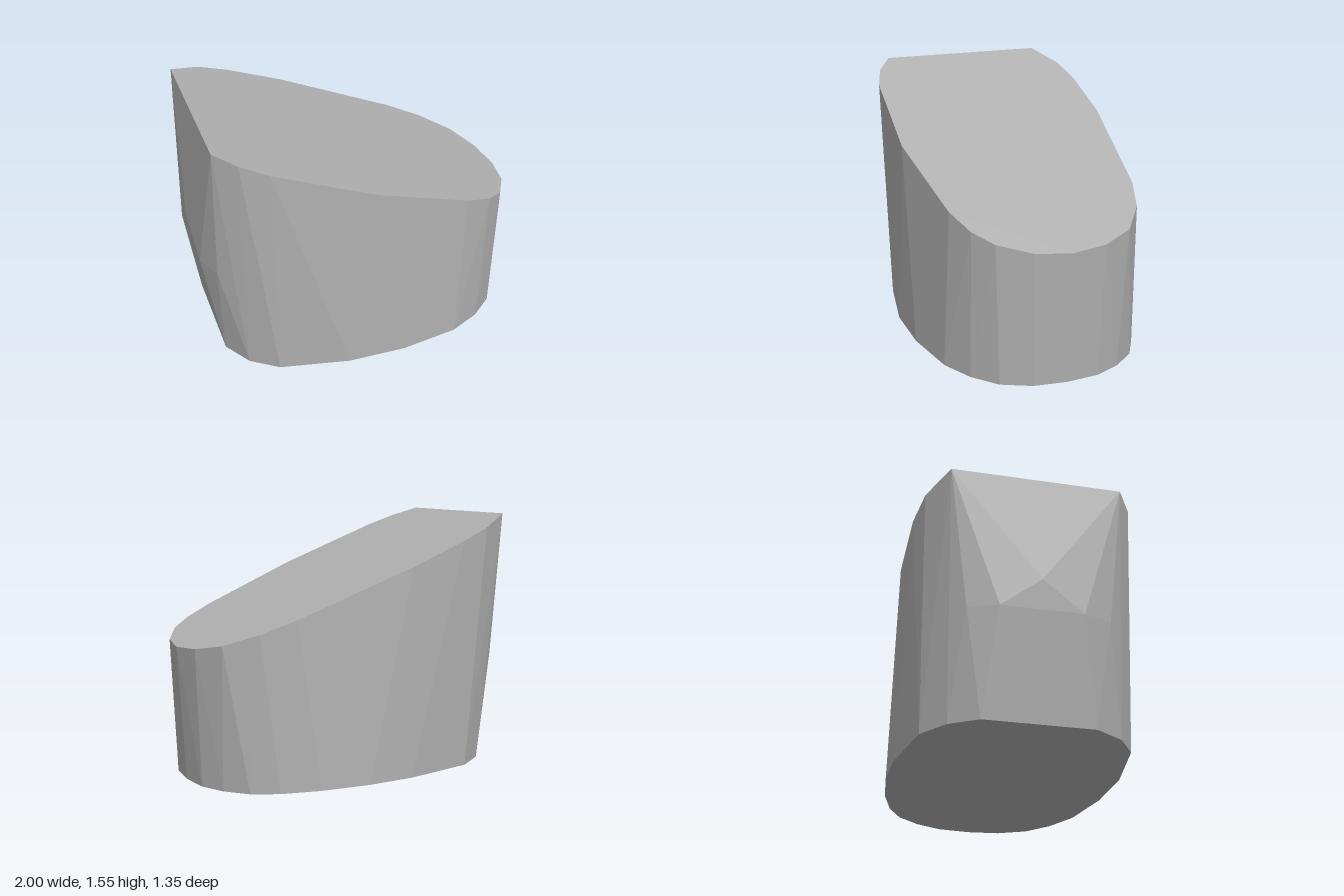
import * as THREE from 'three';
import { ConvexGeometry } from 'three/addons/geometries/ConvexGeometry.js';

// Outlines as [x, z] pairs; each rim lies in its own tilted plane
const TOP_RIM = [
  [-0.925, -0.51], [-0.735, -0.625], [-0.55, -0.665], [-0.2, -0.677], [0.5, -0.595],
  [0.7, -0.53], [0.875, -0.4], [0.967, -0.215], [1, 0], [0.967, 0.21], [0.865, 0.4],
  [0.745, 0.5], [0.57, 0.57], [-0.03, 0.667], [-0.64, 0.64], [-0.8, 0.59], [-0.925, 0.5],
];
const BOTTOM_RIM = [
  [-0.885, -0.32], [-0.785, -0.48], [-0.62, -0.6], [-0.2, -0.675], [0.08, -0.677],
  [0.37, -0.64], [0.6, -0.575], [0.75, -0.49], [0.86, -0.355], [0.93, -0.2], [0.95, 0],
  [0.93, 0.2], [0.85, 0.375], [0.71, 0.5], [0.52, 0.597], [0.16, 0.665], [-0.2, 0.672],
  [-0.62, 0.6], [-0.78, 0.49], [-0.885, 0.32],
];

// Lift an outline onto the plane y = height + slope * x
const rim = (outline, height, slope) =>
  outline.map(([x, z]) => new THREE.Vector3(x, height + slope * x, z));

export function createModel() {
  const model = new THREE.Group();
  model.name = 'slantedBlock';
  const gray = new THREE.MeshStandardMaterial({ color: 0xb0b0b0 });
  gray.name = 'gray';

  // Bulge in the tall end wall
  const bulge = [new THREE.Vector3(-1, 0.86, 0)];
  for (const side of [-1, 1]) {
    bulge.push(new THREE.Vector3(-0.985, 0.68, side * 0.24));
    bulge.push(new THREE.Vector3(-0.92, 0.68, side * 0.41));
  }

  // Faceted convex body with a sloping top and nearly level base
  const points = [
    ...rim(TOP_RIM, 1.192, -0.392),
    ...rim(BOTTOM_RIM, 0.023, -0.024),
    ...bulge,
  ];
  const body = new THREE.Mesh(new ConvexGeometry(points), gray);
  body.name = 'body';
  model.add(body);
  return model;
}
